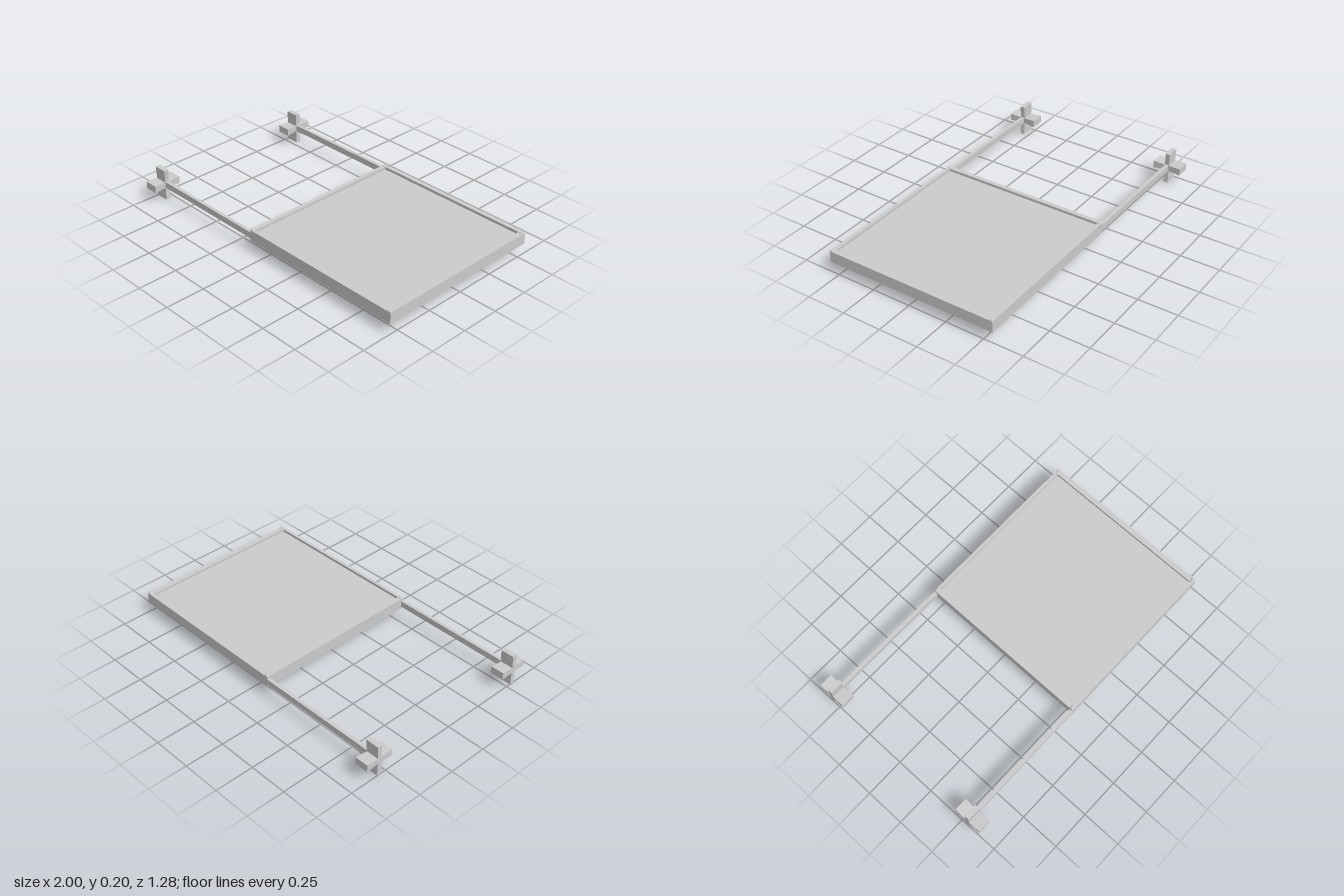
import * as THREE from 'three';
import { RoundedBoxGeometry } from 'three/addons/geometries/RoundedBoxGeometry.js';

const MID = 0.103; // height of the rods and panel
const SIDE = 0.546; // z of the long rails

export function createModel() {
  const model = new THREE.Group();
  const material = new THREE.MeshStandardMaterial({ color: 0xcccccc, flatShading: true });

  const add = (parent, name, geometry, x, y, z) => {
    const mesh = new THREE.Mesh(geometry, material);
    mesh.name = name;
    mesh.position.set(x, y, z);
    parent.add(mesh);
    return mesh;
  };

  // Box given by its limits on each axis
  const block = (name, x0, x1, y0, y1, z0, z1) =>
    add(model, name, new THREE.BoxGeometry(x1 - x0, y1 - y0, z1 - z0),
      (x0 + x1) / 2, (y0 + y1) / 2, (z0 + z1) / 2);

  // Flat panel inside the raised frame
  block('panel', -0.1, 0.975, 0.084, 0.122, -0.54, 0.54);
  block('innerRail', -0.118, -0.09, 0.067, 0.139, -0.54, 0.54);
  block('outerRail', 0.967, 1, 0.067, 0.139, -0.556, 0.556);

  // Fin of a cross-shaped end, flared a little towards its tip
  const finGeometry = (length, thickness) => {
    const g = new THREE.BoxGeometry(0.088, length, thickness, 1, 3, 1);
    g.translate(0, length / 2, 0);
    const p = g.attributes.position;
    for (let i = 0; i < p.count; i++) {
      const inward = 1 - p.getY(i) / length;
      if (p.getX(i) > 0) p.setX(i, p.getX(i) - 0.007 * inward);
      p.setZ(i, p.getZ(i) * (1 - 0.25 * inward));
    }
    g.computeVertexNormals();
    return g;
  };
  const uprightFin = finGeometry(0.101, 0.032);
  const levelFin = finGeometry(0.092, 0.046);

  for (const s of [-1, 1]) {
    const z = s * SIDE;
    block('sideRail', -0.104, 1, 0.067, 0.139, z - 0.0105, z + 0.0105);
    block('rod', -0.95, -0.09, MID - 0.02, MID + 0.02, z - 0.011, z + 0.011);

    // Rounded caps on the frame corners
    for (const x of [-0.104, 0.984]) {
      add(model, 'cornerCap', new RoundedBoxGeometry(0.029, 0.084, 0.024, 2, 0.008), x, MID, s * 0.544);
    }

    // Four fins crossing at the rod end
    const cross = new THREE.Group();
    cross.name = 'crossEnd';
    cross.position.set(-0.956, 0.101, z);
    for (let i = 0; i < 4; i++) {
      const fin = add(cross, 'fin', i % 2 ? levelFin : uprightFin, 0, 0, 0);
      fin.rotation.x = i * Math.PI / 2;
    }
    model.add(cross);
  }
  return model;
}
